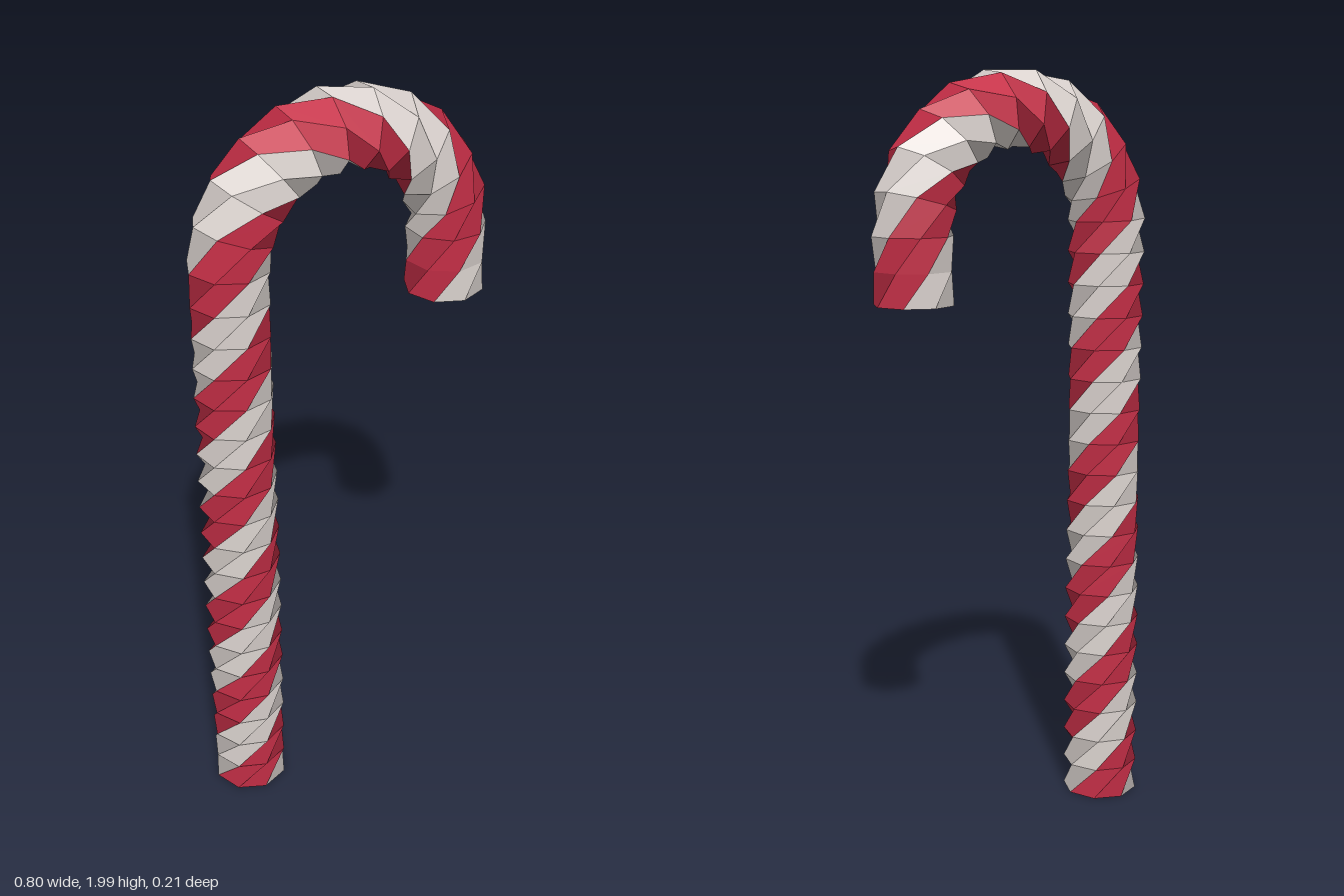
import * as THREE from 'three';

const RED = new THREE.MeshStandardMaterial({ color: 0xc42e46 });
RED.name = 'stripe red';
const WHITE = new THREE.MeshStandardMaterial({ color: 0xdcd4d0 });
WHITE.name = 'stripe white';

const SIDES = 8, RINGS = 32;
const RADIUS = 0.103, BEND = 0.298;  // rod radius, hook radius
const STEM = 1.602, TIP = 1.422;     // stem height, height of the hook's end
const STEM_RINGS = 19;

// Turn of ring k: steady along the stem, slower round the hook
function twistAt(k) {
  const u = Math.max(0, k - STEM_RINGS);
  const degrees = 47.5 * (k - u) + 41.4 * u - 0.276 * u * u;
  return THREE.MathUtils.degToRad(degrees);
}

// Centre and outward direction at distance s along the cane
function pathAt(s) {
  const arc = Math.PI * BEND;
  if (s <= STEM) return { x: -BEND, y: s, a: 0 };
  if (s <= STEM + arc) {
    const a = (s - STEM) / BEND;
    return { x: -BEND * Math.cos(a), y: STEM + BEND * Math.sin(a), a };
  }
  return { x: BEND, y: STEM - (s - STEM - arc), a: Math.PI };
}

// Corner i of ring k, turned about the path
function corner(k, i) {
  const length = STEM + Math.PI * BEND + (STEM - TIP);
  const p = pathAt((k / RINGS) * length);
  const angle = (i / SIDES) * Math.PI * 2 - twistAt(k);
  const inward = RADIUS * Math.cos(angle);
  return new THREE.Vector3(
    p.x + inward * Math.cos(p.a),
    p.y - inward * Math.sin(p.a),
    RADIUS * Math.sin(angle),
  );
}

function meshFrom(points, normals, material, name) {
  const geometry = new THREE.BufferGeometry().setFromPoints(points);
  const flat = normals.flatMap((n) => n.toArray());
  geometry.setAttribute('normal', new THREE.Float32BufferAttribute(flat, 3));
  const mesh = new THREE.Mesh(geometry, material);
  mesh.name = name;
  return mesh;
}

// One two-facet-wide stripe spiralling along the whole cane
function stripe(first, material, name) {
  const points = [], normals = [];
  for (let k = 0; k < RINGS; k++) {
    for (let i = first; i < first + 2; i++) {
      const a = corner(k, i), b = corner(k, i + 1);
      const c = corner(k + 1, i), d = corner(k + 1, i + 1);
      points.push(a, c, b, b, c, d);
      // one shared normal keeps each twisted facet evenly shaded
      const normal = d.clone().sub(a).cross(b.clone().sub(c)).normalize();
      for (let n = 0; n < 6; n++) normals.push(normal);
    }
  }
  return meshFrom(points, normals, material, name);
}

// Flat cap closing one end; both ends face down
function cap(k, name) {
  const points = [], normals = [];
  const down = new THREE.Vector3(0, -1, 0);
  for (let i = 1; i < SIDES - 1; i++) {
    const a = corner(k, 0), b = corner(k, i), c = corner(k, i + 1);
    points.push(a, k === 0 ? b : c, k === 0 ? c : b);
    normals.push(down, down, down);
  }
  return meshFrom(points, normals, WHITE, name);
}

export function createModel() {
  const cane = new THREE.Group();
  cane.name = 'stripedCane';
  for (let n = 0; n < 2; n++) {
    cane.add(stripe(n * 4, WHITE, `whiteStripe${n + 1}`));
    cane.add(stripe(n * 4 + 2, RED, `redStripe${n + 1}`));
  }
  cane.add(cap(0, 'stemEnd'), cap(RINGS, 'hookEnd'));
  return cane;
}
